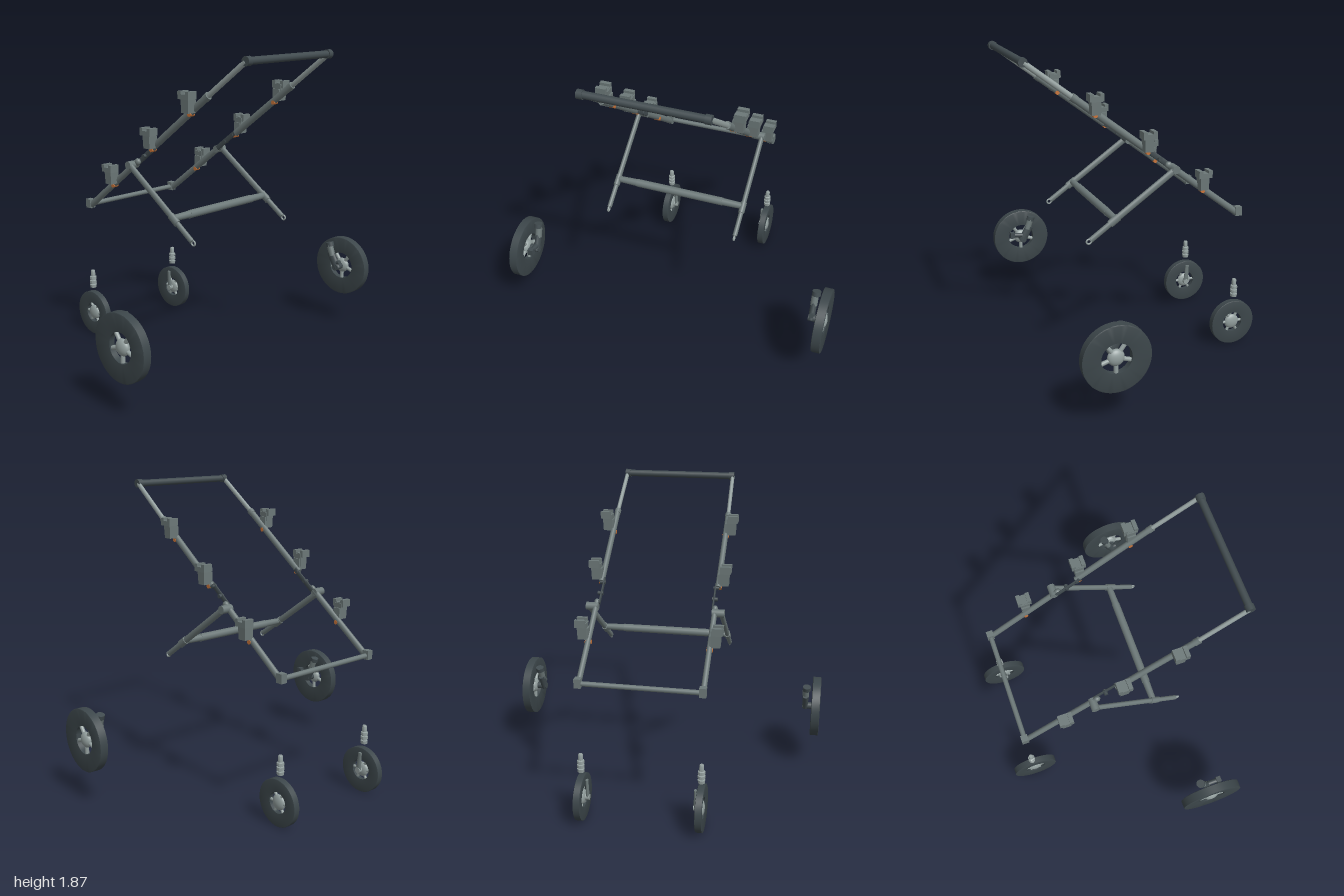
import * as THREE from 'three';
import { toCreasedNormals } from 'three/addons/utils/BufferGeometryUtils.js';

const mat = (name, color) => {
  const m = new THREE.MeshStandardMaterial({ color });
  m.name = name;
  return m;
};
const V = (x, y, z) => new THREE.Vector3(x, y, z);

export function createModel() {
  const root = new THREE.Group();
  root.name = 'strollerChassis';
  const frame = mat('frameGrey', 0x6c7878);
  const light = mat('lightGrey', 0x929e9d);
  const dark = mat('darkGrey', 0x414b4f);
  const rubber = mat('tyreRubber', 0x3c464a);
  const orange = mat('orangeButton', 0xc8743a);

  const add = (parent, name, geo, m, x = 0, y = 0, z = 0) => {
    const mesh = new THREE.Mesh(geo, m);
    mesh.name = name;
    mesh.position.set(x, y, z);
    parent.add(mesh);
    return mesh;
  };
  // Tube between two points; flat squashes it across z
  const rod = (parent, name, a, b, r, m, flat = 1, r2 = r) => {
    const d = b.clone().sub(a);
    const mesh = add(parent, name, new THREE.CylinderGeometry(r2, r, d.length(), 20), m);
    mesh.position.copy(a).add(b).multiplyScalar(0.5);
    mesh.quaternion.setFromUnitVectors(V(0, 1, 0), d.normalize());
    mesh.scale.z = flat;
    return mesh;
  };
  const lathe = (pts, n = 40) => toCreasedNormals(
    new THREE.LatheGeometry(pts.map(p => new THREE.Vector2(p[0], p[1])), n), 0.6);
  // Point on the sloping rail for a given x
  const rail = (x, z, up = 0) => V(x, 1.316 + 0.759 * x + up, z);

  // Cross members
  rod(root, 'handlebar', V(0.7, 1.847, -0.33), V(0.7, 1.847, 0.33), 0.021, dark);
  rod(root, 'lowerCrossbar', V(-0.6, 0.873, -0.35), V(-0.6, 0.873, 0.35), 0.015, frame);
  rod(root, 'legCrossbar', V(0.205, 0.937, -0.27), V(0.205, 0.937, 0.27), 0.024, frame);

  // Spoked wheel, local +z facing outwards, centred on its width
  function wheel(name, R, hole, w, hubR, count) {
    const g = new THREE.Group();
    g.name = name;
    const h = w / 2;
    const tyre = add(g, 'tyre', lathe([
      [hole, -h * 0.65], [R * 0.97, -h], [R, -h * 0.9], [R, h * 0.9],
      [R * 0.97, h], [hole, h * 0.65], [hole, -h * 0.65]], 56), rubber);
    tyre.rotation.x = Math.PI / 2;
    for (let i = 0; i < count; i++) {
      const a = Math.PI / 2 + (i + 0.5) / count * Math.PI * 2;
      const c = Math.cos(a), s = Math.sin(a);
      rod(g, 'spoke', V(c * hubR * 0.7, s * hubR * 0.7, 0), V(c * (hole + 0.004), s * (hole + 0.004), 0),
        hole * 0.14, light);
    }
    const hub = add(g, 'hub', new THREE.SphereGeometry(hubR, 28, 18), light);
    hub.scale.z = h / hubR;
    return g;
  }

  for (const s of [1, -1]) {
    const side = new THREE.Group();
    side.name = s > 0 ? 'leftSide' : 'rightSide';
    root.add(side);
    const z = 0.355 * s;

    // Sloping rail: lower tube, folding hinge, upper tube, telescopic tube
    rod(side, 'lowerRail', rail(-0.6, z), rail(-0.14, z), 0.02, frame, 0.8);
    add(side, 'railKnuckle', new THREE.SphereGeometry(0.021, 16, 12), frame, -0.14, 1.21, z).scale.z = 0.8;
    rod(side, 'hingePlate', rail(-0.15, 0.34 * s), rail(0, 0.34 * s), 0.017, dark, 0.35);
    for (const x of [-0.085, -0.02]) {
      const p = rail(x, 0.345 * s);
      rod(side, 'hingePin', p.clone().setZ(0.33 * s), p.clone().setZ(0.362 * s), 0.012, dark);
    }
    rod(side, 'upperRail', rail(-0.02, z), rail(0.43, z), 0.021, frame, 0.8);
    rod(side, 'railCollar', rail(0.415, z), rail(0.44, z), 0.023, frame, 0.85);
    rod(side, 'handleTube', rail(0.43, z), rail(0.695, 0.348 * s), 0.016, light, 0.75);
    rod(side, 'handleCap', V(0.7, 1.847, 0.325 * s), V(0.7, 1.847, 0.358 * s), 0.026, dark);
    add(side, 'cornerFitting', new THREE.BoxGeometry(0.042, 0.055, 0.04), frame, -0.6, 0.878, z);

    // Swinging rear leg
    const lz = 0.396 * s;
    const leg = t => V(-0.165 + 0.53 * t, 1.192 - 0.37 * t, lz);
    rod(side, 'upperLeg', leg(0), leg(0.68), 0.02, frame, 0.7);
    rod(side, 'legCollar', leg(0.66), leg(0.76), 0.024, frame, 0.75);
    rod(side, 'lowerLeg', leg(0.75), leg(0.98), 0.017, frame, 0.8);
    const ring = add(side, 'legEndRing', new THREE.TorusGeometry(0.014, 0.005, 10, 24), light);
    ring.position.copy(leg(1));
    rod(side, 'legPivot', V(-0.165, 1.192, 0.34 * s), V(-0.165, 1.192, 0.413 * s), 0.024, frame);
    rod(side, 'crossbarEnd', V(0.205, 0.937, 0.265 * s), V(0.205, 0.937, 0.39 * s), 0.022, frame, 1, 0.019);

    // Seat brackets: tapered stem, notched cap, orange button
    for (const x of [-0.345, 0.005, 0.318]) {
      const b = new THREE.Group();
      b.name = 'seatBracket';
      b.position.set(x, 1.345 + 0.75 * x, 0.39 * s);
      side.add(b);
      const stem = new THREE.CylinderGeometry(0.042, 0.036, 0.1, 4, 1).rotateY(Math.PI / 4);
      add(b, 'bracketStem', toCreasedNormals(stem, 0.4), frame, 0, 0.015, 0);
      add(b, 'bracketClamp', new THREE.BoxGeometry(0.05, 0.07, 0.03), frame, 0, 0, -0.022 * s);
      add(b, 'bracketCap', new THREE.BoxGeometry(0.084, 0.028, 0.062), frame, 0, 0.055, 0.008 * s);
      for (const e of [-1, 1])
        add(b, 'capLug', new THREE.BoxGeometry(0.024, 0.018, 0.062), frame, e * 0.03, 0.076, 0.008 * s);
      const p = rail(x - 0.01, z, -0.012);
      rod(side, 'releaseButton', p.clone().setZ(0.337 * s), p.clone().setZ(0.374 * s), 0.013, orange);
    }

    // Front swivel pin with stacked rings
    add(side, 'swivelPin', lathe([
      [0, 0.315], [0.02, 0.315], [0.022, 0.335], [0.015, 0.338], [0.015, 0.343],
      [0.022, 0.346], [0.022, 0.362], [0.015, 0.365], [0.015, 0.37], [0.022, 0.373],
      [0.021, 0.388], [0.014, 0.392], [0.014, 0.425], [0.011, 0.431], [0, 0.431]], 24),
    light, -0.597, 0, z);

    // Small front wheel with single-sided fork
    const fw = wheel('frontWheel', 0.142, 0.064, 0.042, 0.047, 6);
    fw.position.set(-0.588, 0.145, z);
    if (s < 0) fw.rotation.y = Math.PI;
    side.add(fw);
    rod(side, 'frontFork', V(-0.588, 0.14, 0.321 * s), V(-0.597, 0.262, 0.321 * s), 0.017, frame, 0.6, 0.013);
    rod(side, 'frontAxle', V(-0.588, 0.145, 0.31 * s), V(-0.588, 0.145, 0.35 * s), 0.018, light);

    // Large rear wheel
    const rw = wheel('rearWheel', 0.193, 0.087, 0.055, 0.048, 5);
    rw.position.set(0.42, 0.393, 0.9715 * s);
    if (s < 0) rw.rotation.y = Math.PI;
    side.add(rw);

    // Rear axle arm, socket and brake pedal
    const az = 0.903 * s;
    rod(side, 'rearAxle', V(0.42, 0.393, 0.885 * s), V(0.42, 0.393, 0.965 * s), 0.022, dark);
    rod(side, 'axleArm', V(0.425, 0.385, az), V(0.37, 0.485, az), 0.027, dark, 0.7);
    rod(side, 'legSocket', V(0.385, 0.465, az), V(0.36, 0.535, az), 0.021, frame);
    rod(side, 'socketCap', V(0.363, 0.525, az + 0.005 * s), V(0.355, 0.552, az + 0.005 * s), 0.026, dark);
    rod(side, 'brakeArm', V(0.41, 0.42, az), V(s > 0 ? 0.49 : 0.445, 0.43, az), 0.015, dark);
    if (s > 0) add(side, 'brakePedal', new THREE.BoxGeometry(0.03, 0.04, 0.035), dark, 0.495, 0.43, az);
  }
  return root;
}
